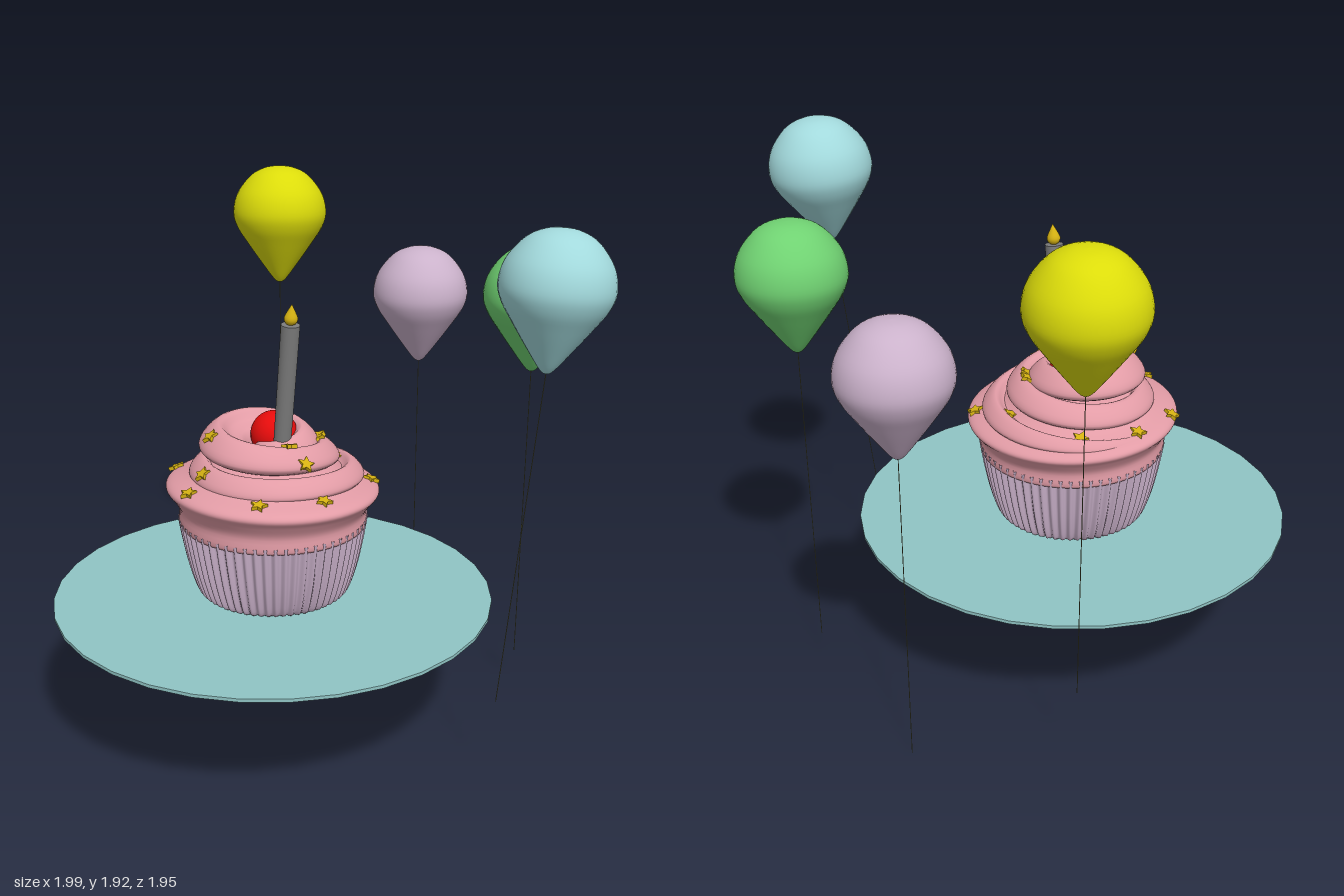
import * as THREE from 'three';
import { mergeVertices } from 'three/addons/utils/BufferGeometryUtils.js';

const mat = (name, color, side = THREE.FrontSide) => {
  const m = new THREE.MeshStandardMaterial({ color, side });
  m.name = name;
  return m;
};
const V2 = (x, y) => new THREE.Vector2(x, y);
const V3 = (x, y, z) => new THREE.Vector3(x, y, z);

// Smooth lathe through a few profile points
const smoothLathe = (pts, segments, samples = 32) => {
  const curve = new THREE.SplineCurve(pts.map(([r, y]) => V2(r, y)));
  const profile = curve.getPoints(samples).map(p => V2(Math.max(p.x, 0), p.y));
  return new THREE.LatheGeometry(profile, segments);
};

// Grid surface from a rule fn(u, v) -> Vector3, welded for smooth normals
function gridSurface(fn, nu, nv) {
  const pos = [], idx = [];
  for (let i = 0; i <= nu; i++)
    for (let j = 0; j <= nv; j++) pos.push(...fn(i / nu, j / nv).toArray());
  for (let i = 0; i < nu; i++)
    for (let j = 0; j < nv; j++) {
      const a = i * (nv + 1) + j, b = a + nv + 1;
      idx.push(a, a + 1, b, b, a + 1, b + 1);
    }
  const g = new THREE.BufferGeometry();
  g.setAttribute('position', new THREE.Float32BufferAttribute(pos, 3));
  g.setIndex(idx);
  const welded = mergeVertices(g, 1e-5);
  welded.computeVertexNormals();
  return welded;
}

export function createModel() {
  const model = new THREE.Group();
  const yellow = mat('balloonYellow', 0xdcdc0a);
  const lilac = mat('lilac', 0xcbb2cb, THREE.DoubleSide);
  const green = mat('balloonGreen', 0x70d272);
  const blue = mat('balloonBlue', 0xa2d9dc);
  const teal = mat('plateTeal', 0x90c4c4);
  const pink = mat('frostingPink', 0xe29ca6, THREE.DoubleSide);
  const red = mat('cherryRed', 0xe80c0c);
  const grey = mat('candleGrey', 0x7c7c7c);
  const gold = mat('gold', 0xd6b212);
  const stringMat = mat('stringOlive', 0x75754f);

  const add = (name, geo, material, parent = model) => {
    const m = new THREE.Mesh(geo, material);
    m.name = name;
    parent.add(m);
    return m;
  };

  // Plate
  add('plate', new THREE.CylinderGeometry(0.8, 0.8, 0.012, 32), teal).position.set(-0.045, 0.508, 0.17);

  // Cupcake, centred on its own axis
  const cake = new THREE.Group();
  cake.name = 'cupcake';
  cake.position.set(-0.06, 0, 0.155);
  model.add(cake);

  // Pleated paper wrapper
  const wall = new THREE.SplineCurve([
    V2(0.235, 0.517), V2(0.268, 0.535), V2(0.298, 0.62), V2(0.32, 0.72), V2(0.336, 0.815)]);
  const pleats = 60;
  add('wrapper', gridSurface((u, v) => {
    const p = wall.getPoint(v), a = u * Math.PI * 2;
    const r = p.x + 0.008 * Math.min(1, v * 4) * Math.cos(a * pleats);
    return V3(r * Math.sin(a), p.y, r * Math.cos(a));
  }, pleats * 8, 14), lilac, cake);
  const base = add('wrapperBase', new THREE.CircleGeometry(0.235, 48), lilac, cake);
  base.rotation.x = Math.PI / 2;
  base.position.y = 0.517;

  // Lower frosting layer, its flared rim dipping toward the back
  const rim = new THREE.SplineCurve([
    V2(0.27, 0.80), V2(0.335, 0.79), V2(0.338, 0.85), V2(0.362, 0.895), V2(0.383, 0.925),
    V2(0.365, 0.948), V2(0.30, 0.972), V2(0.25, 1.0), V2(0.2, 1.03), V2(0.1, 1.045), V2(0, 1.05)]);
  const lower = add('frostingBase', gridSurface((u, v) => {
    const p = rim.getPoint(v), a = u * Math.PI * 2;
    const y = p.y + 0.017 * (Math.cos(a) - 0.3) * Math.sin(Math.PI * v);
    return V3(p.x * Math.sin(a), y, p.x * Math.cos(a));
  }, 80, 48), pink, cake);

  // Frosting swirl: a lobed section swept up a narrowing spiral.
  // Stations every quarter turn: tip radius, tip height, section scale
  const path = new THREE.CatmullRomCurve3([
    [0.36, 0.93, 0.3], [0.345, 0.945, 0.65], [0.305, 0.972, 0.75], [0.30, 0.98, 0.78],
    [0.29, 0.985, 0.8], [0.255, 1.01, 0.9], [0.225, 1.045, 0.85], [0.255, 1.07, 1],
    [0.255, 1.085, 1], [0.185, 1.075, 0.9], [0.13, 1.065, 0.7], [0.09, 1.06, 0.5], [0.04, 1.05, 0.2],
  ].map(p => V3(...p)), false, 'catmullrom');
  const lobe = new THREE.CatmullRomCurve3([
    [0, 0], [-0.012, 0.035], [-0.07, 0.08], [-0.11, 0.045], [-0.16, 0.02], [-0.18, -0.05], [-0.06, -0.035],
  ].map(([x, y]) => V3(x, y, 0)), true);
  const swirl = add('frostingSwirl', gridSurface((u, v) => {
    const s = path.getPoint(u), q = lobe.getPoint(v);
    const a = -Math.PI / 2 - u * 3 * Math.PI * 2;
    const r = Math.max(s.x + q.x * s.z, 0);
    return V3(r * Math.sin(a), s.y + q.y * s.z, r * Math.cos(a));
  }, 240, 28), pink, cake);

  // Cherry
  add('cherry', new THREE.SphereGeometry(0.085, 32, 20), red).position.set(-0.095, 1.1, 0.12);

  // Leaning candle with flame
  const candle = new THREE.Group();
  candle.name = 'candle';
  candle.position.set(-0.003, 1.07, 0.157);
  candle.rotation.z = -0.118;
  model.add(candle);
  add('candleStick', new THREE.CylinderGeometry(0.033, 0.031, 0.47, 24), grey, candle).position.y = 0.235;
  add('flame', smoothLathe([[0, 0], [0.018, 0.01], [0.024, 0.028], [0.012, 0.055], [0, 0.078]], 20, 16),
    gold, candle).position.y = 0.466;

  // Star sprinkles dropped onto the frosting
  const star = new THREE.Shape();
  for (let i = 0; i < 10; i++) {
    const r = i % 2 ? 0.015 : 0.031, a = i * Math.PI / 5;
    star[i ? 'lineTo' : 'moveTo'](r * Math.sin(a), r * Math.cos(a));
  }
  star.closePath();
  const starGeo = new THREE.ExtrudeGeometry(star, { depth: 0.014, bevelEnabled: false });
  model.updateMatrixWorld(true);
  const ray = new THREE.Raycaster();
  [[-0.025, -0.11], [0.145, -0.135], [-0.3, -0.02], [-0.01, -0.015], [0.02, 0.005], [-0.39, 0.17],
    [0.1, 0.2], [0.16, 0.18], [0.26, 0.18], [-0.36, 0.365], [-0.13, 0.37], [0.17, 0.39],
    [-0.09, 0.435], [-0.08, 0.505]].forEach(([x, z], i) => {
    ray.set(V3(x, 2, z), V3(0, -1, 0));
    const hit = ray.intersectObjects([lower, swirl])[0];
    if (!hit) return;
    const n = hit.face.normal.clone();
    if (n.y < 0) n.negate();
    n.y += 0.5;
    n.normalize();
    const s = add('starSprinkle', starGeo, gold);
    s.position.copy(hit.point).addScaledVector(n, -0.003);
    s.quaternion.setFromUnitVectors(V3(0, 0, 1), n);
    s.rotateZ(i * 1.3);
  });

  // Balloons: top centre, knot and string end
  const balloonGeo = smoothLathe([
    [0, 0], [0.022, 0.012], [0.072, 0.078], [0.13, 0.16], [0.172, 0.225], [0.188, 0.285],
    [0.17, 0.36], [0.115, 0.43], [0.055, 0.461], [0, 0.468]], 40, 40);
  const up = V3(0, 1, 0);
  [['yellow', yellow, [-0.82, 1.915, -0.475], [-0.793, 1.449, -0.45], [-0.715, 0.3, -0.39]],
    ['lilac', lilac, [-0.315, 1.627, -0.79], [-0.315, 1.159, -0.79], [-0.315, 0, -0.79]],
    ['green', green, [0.345, 1.743, -0.735], [0.345, 1.275, -0.735], [0.338, 0.12, -0.735]],
    ['blue', blue, [0.808, 1.918, -0.335], [0.804, 1.452, -0.292], [0.786, 0.3, -0.155]],
  ].forEach(([name, material, top, knot, end]) => {
    const k = V3(...knot), e = V3(...end);
    const b = add(name + 'Balloon', balloonGeo, material);
    b.position.copy(k);
    b.quaternion.setFromUnitVectors(up, V3(...top).sub(k).normalize());
    const line = add(name + 'String', new THREE.CylinderGeometry(0.0015, 0.0015, k.distanceTo(e), 6), stringMat);
    line.position.copy(k).add(e).multiplyScalar(0.5);
    line.quaternion.setFromUnitVectors(up, k.clone().sub(e).normalize());
  });

  return model;
}
